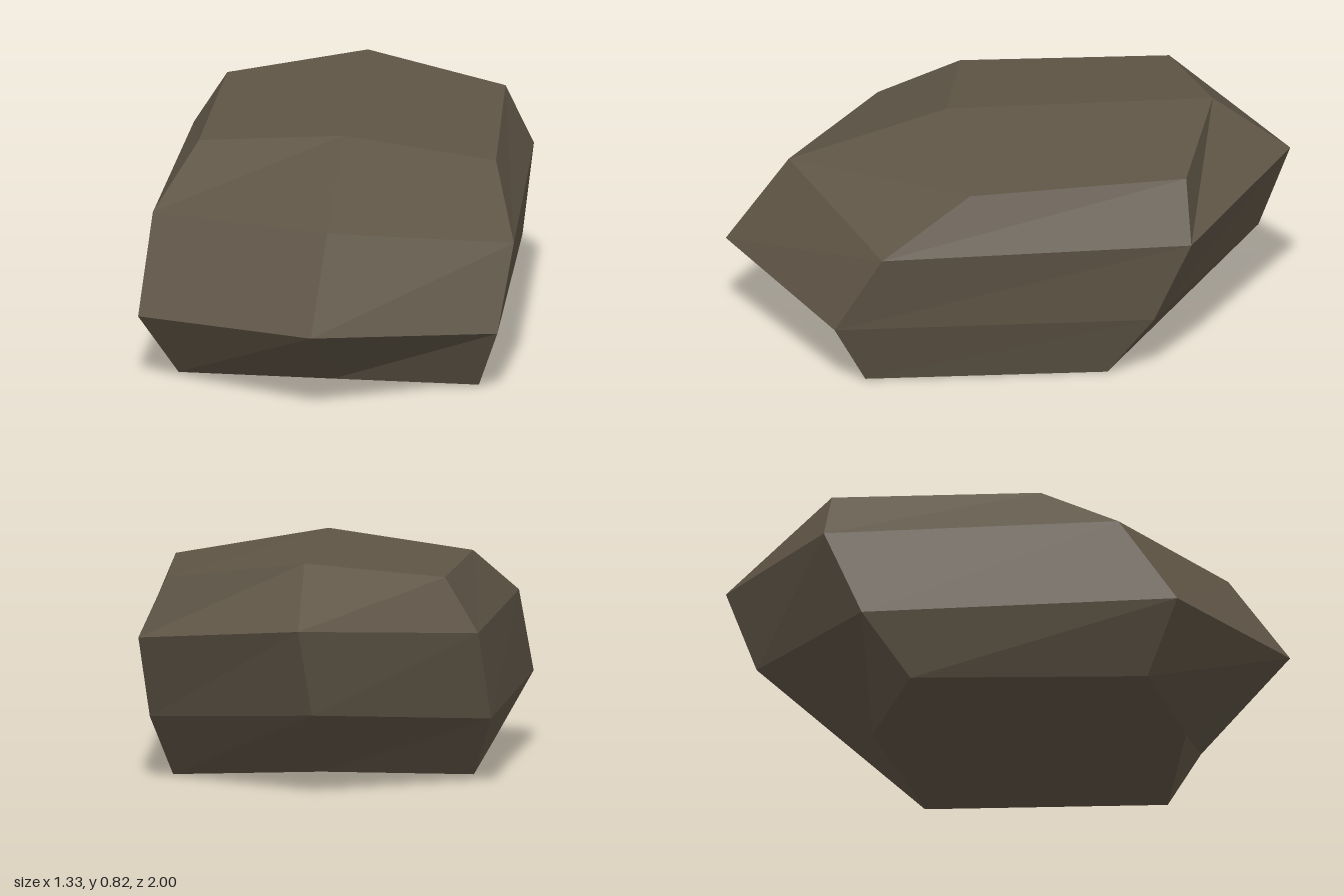
import * as THREE from 'three';

// Each ring runs front-left, front, front-right, back-right, back, back-left.
const rings = [
  // underside
  [[-0.53, 0.01, 0.51], [0.03, 0.04, 0.63], [0.54, 0.005, 0.55], [0.54, 0, -0.31], [0, 0.04, -0.48], [-0.53, 0.015, -0.33]],
  // lower girdle
  [[-0.665, 0.25, 0.62], [-0.02, 0.31, 1], [0.615, 0.235, 0.665], [0.61, 0.23, -0.47], [0, 0.3, -0.89], [-0.605, 0.24, -0.5]],
  // upper girdle
  [[-0.63, 0.57, 0.41], [0.02, 0.63, 0.78], [0.66, 0.52, 0.5], [0.64, 0.53, -0.6], [0.04, 0.615, -1], [-0.57, 0.565, -0.635]],
  // crown
  [[-0.49, 0.75, 0.13], [0.03, 0.81, 0.22], [0.57, 0.72, 0.18], [0.54, 0.745, -0.59], [0.04, 0.82, -0.725], [-0.45, 0.76, -0.61]],
];

export function createModel() {
  const stone = new THREE.MeshStandardMaterial({ color: 0x5f5546 });
  stone.name = 'brownStone';
  stone.flatShading = true;

  const sides = 6;
  const index = [];

  // Sloping bands between neighbouring rings
  for (let r = 0; r < rings.length - 1; r++) {
    for (let i = 0; i < sides; i++) {
      const j = (i + 1) % sides;
      const a = r * sides + i, b = r * sides + j;
      const c = b + sides, d = a + sides;
      index.push(a, b, c, a, c, d);
    }
  }

  // Caps, each folded along the line from front (1) to back (4)
  const folds = [[1, 2, 3], [1, 3, 4], [1, 4, 5], [1, 5, 0]];
  const top = (rings.length - 1) * sides;
  for (const [a, b, c] of folds) {
    index.push(top + a, top + b, top + c);
    index.push(a, c, b);
  }

  const indexed = new THREE.BufferGeometry();
  indexed.setAttribute('position', new THREE.Float32BufferAttribute(rings.flat(2), 3));
  indexed.setIndex(index);
  const geometry = indexed.toNonIndexed();
  geometry.computeVertexNormals();

  const rock = new THREE.Mesh(geometry, stone);
  rock.name = 'rock';

  const group = new THREE.Group();
  group.name = 'boulder';
  group.add(rock);
  return group;
}
